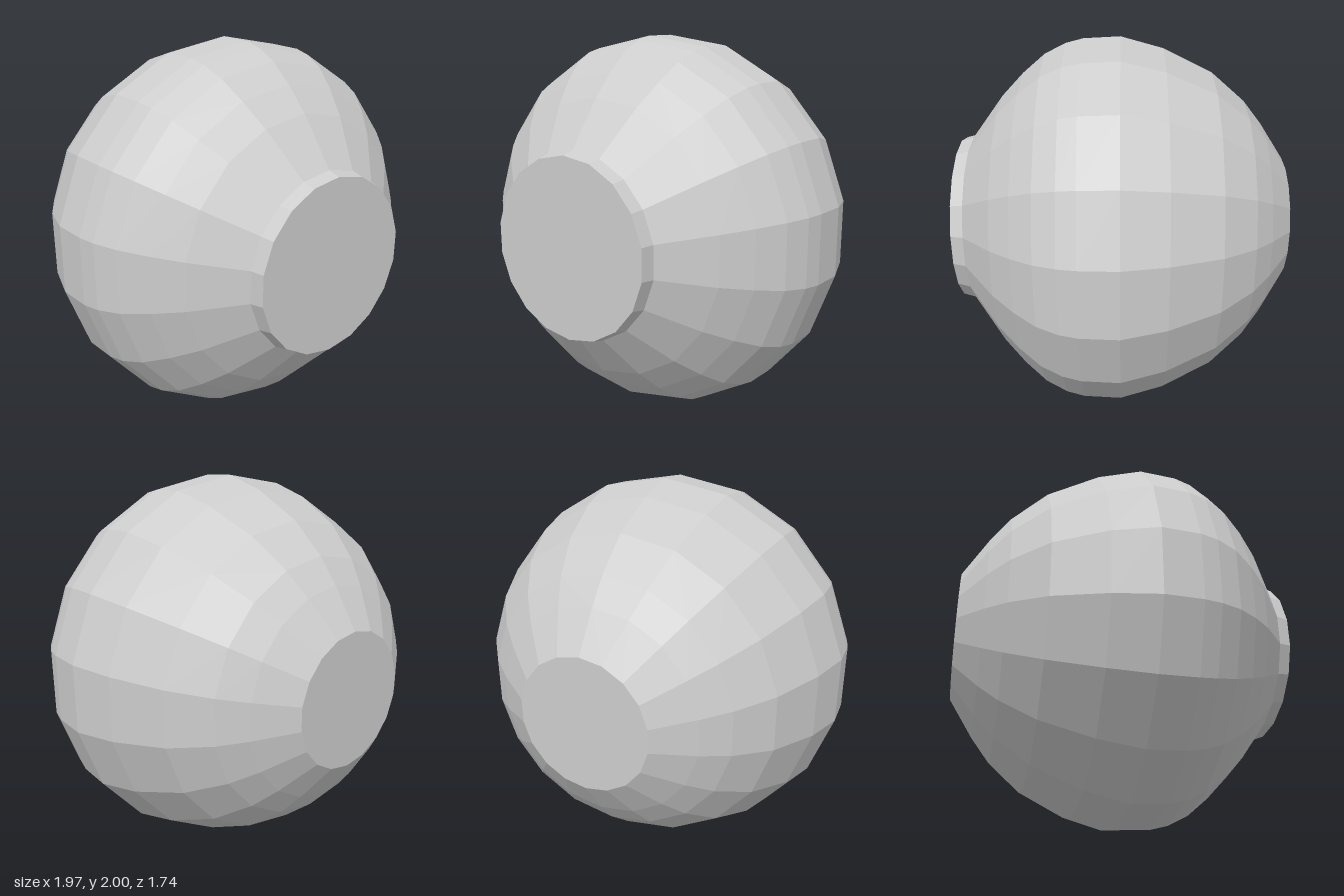
import * as THREE from 'three';

const SIDES = 18;

// Faceted solid of revolution around z, from [z, radius] pairs ordered back to front
function turned(name, profile, material) {
  const points = profile.map(([z, r]) => new THREE.Vector2(r, z));
  const geometry = new THREE.LatheGeometry(points, SIDES);
  geometry.rotateX(Math.PI / 2);
  const mesh = new THREE.Mesh(geometry.toNonIndexed(), material);
  mesh.geometry.computeVertexNormals();
  mesh.name = name;
  mesh.position.y = 1;
  return mesh;
}

export function createModel() {
  const group = new THREE.Group();
  group.name = 'roundVessel';
  const grey = new THREE.MeshStandardMaterial({ color: 0xcccccc });
  grey.name = 'plain grey';
  grey.flatShading = true;

  // Bulging body with a flat back
  group.add(turned('body', [
    [-0.87, 0], [-0.87, 0.345], [-0.74, 0.54], [-0.64, 0.665], [-0.465, 0.815],
    [-0.21, 0.94], [0.01, 1], [0.2, 0.99], [0.29, 0.967], [0.4, 0.912],
    [0.515, 0.815], [0.63, 0.695], [0.805, 0.462],
  ], grey));

  // Short collar with a flat closed front
  group.add(turned('collar', [[0.805, 0.462], [0.87, 0.445], [0.87, 0]], grey));

  return group;
}
